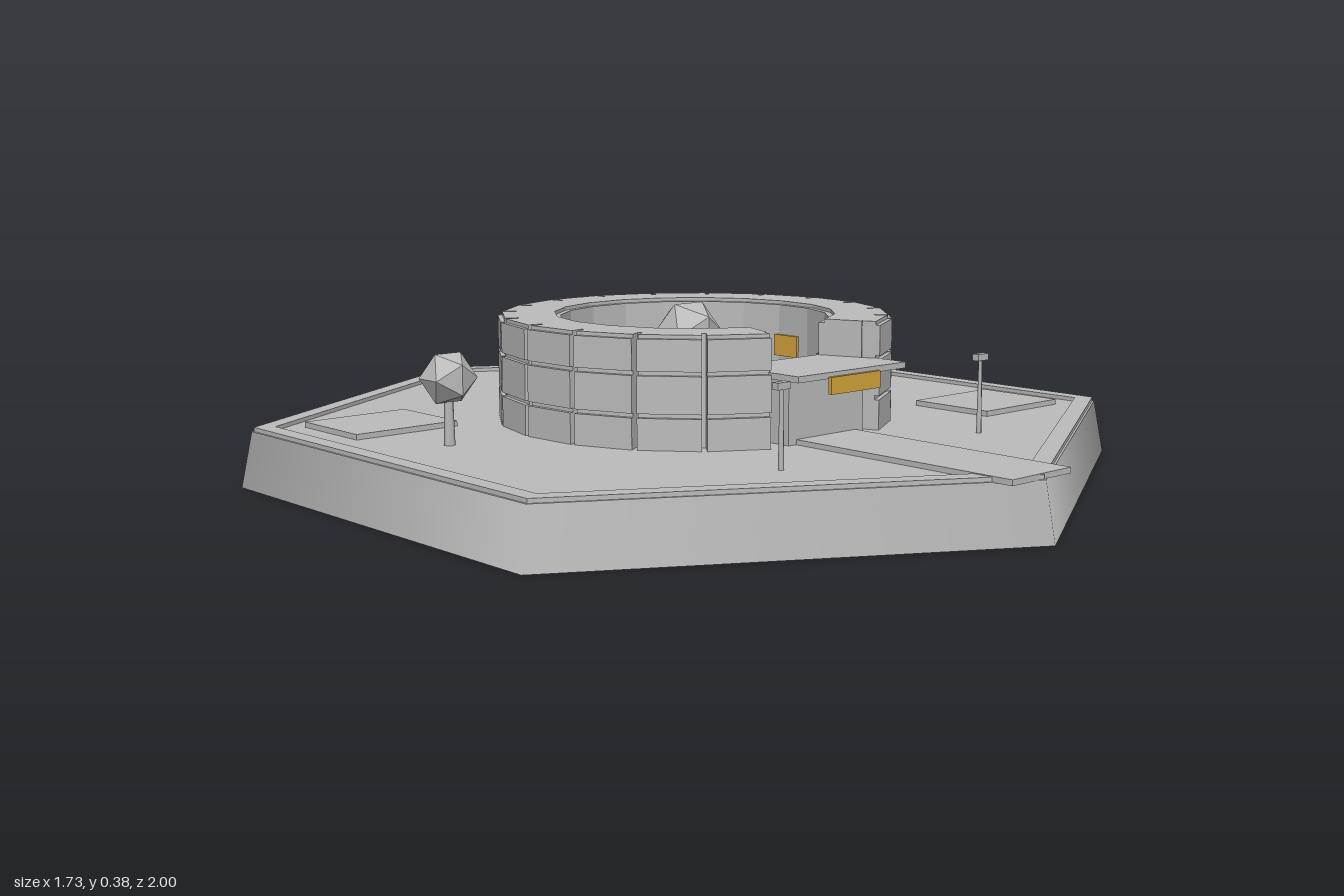
import * as THREE from 'three';

export function createModel() {
  const root = new THREE.Group();
  const stone = new THREE.MeshStandardMaterial({ color: 0xbcbcbc });
  stone.name = 'stone grey';
  const gold = new THREE.MeshStandardMaterial({ color: 0xd6a53c });
  gold.name = 'sign gold';
  const rad = THREE.MathUtils.degToRad;
  const FLOOR = 0.122, TOP = 0.358;

  const add = (name, geo, x = 0, y = 0, z = 0, mat = stone, parent = root) => {
    const m = new THREE.Mesh(geo, mat);
    m.name = name;
    m.position.set(x, y, z);
    parent.add(m);
    return m;
  };
  const box = (w, h, d) => new THREE.BoxGeometry(w, h, d);

  // Extrude a plan outline of [x, z] points from y0 up to y1
  const slab = (pts, y0, y1, hole) => {
    const v = p => p.map(([x, z]) => new THREE.Vector2(x, -z));
    const shape = new THREE.Shape(v(pts));
    if (hole) shape.holes.push(new THREE.Path(v(hole)));
    const g = new THREE.ExtrudeGeometry(shape, { depth: y1 - y0, bevelEnabled: false });
    return g.rotateX(-Math.PI / 2).translate(0, y0, 0);
  };
  // Points along an arc; angle 0 is the front
  const arc = (r, a0, a1, n) => Array.from({ length: n + 1 }, (_, i) => {
    const a = rad(a0 + (a1 - a0) * i / n);
    return [r * Math.sin(a), r * Math.cos(a)];
  });
  const sector = (r0, r1, a0, a1, y0, y1, n) =>
    slab([...arc(r1, a0, a1, n), ...arc(r0, a1, a0, n)], y0, y1);
  const hex = r => arc(r, 0, 300, 5);

  // Hexagonal plinth with a low kerb
  add('plinth', new THREE.CylinderGeometry(0.975, 1, FLOOR, 6), 0, FLOOR / 2, 0);
  add('kerb', slab(hex(0.97), FLOOR - 0.01, 0.131, hex(0.925)));

  // Path to the front corner and two flat beds
  add('path', box(0.18, 0.012, 0.555), 0, 0.127, 0.688);
  for (const s of [-1, 1])
    add('flatBed', box(0.255, 0.016, 0.21), s * 0.605, 0.126, s * 0.352);

  // Ring wall, open at the front
  const OPEN = 21, N = 17, step = (360 - 2 * OPEN) / N;
  const ring = new THREE.Group();
  ring.name = 'ringWall';
  root.add(ring);
  add('wallCore', sector(0.315, 0.402, OPEN, 360 - OPEN, FLOOR, TOP, N), 0, 0, 0, stone, ring);
  add('innerLining', sector(0.302, 0.318, OPEN, 360 - OPEN, FLOOR, TOP - 0.008, N), 0, 0, 0, stone, ring);

  // Outer panels: a backing plate with three raised rows
  const rows = [[FLOOR, 0.188], [0.197, 0.275], [0.284, 0.35]];
  for (let i = 0; i < N; i++) {
    const a0 = OPEN + i * step + 0.7, a1 = OPEN + (i + 1) * step - 0.7;
    add('panelBacking', sector(0.39, 0.432, a0, a1, FLOOR, TOP, 1), 0, 0, 0, stone, ring);
    for (const [y0, y1] of rows)
      add('panelRow', sector(0.42, 0.442, a0, a1, y0, y1, 1), 0, 0, 0, stone, ring);
  }

  // Gold plaques on the inner wall
  for (let i = 0; i < 6; i++) {
    const a = rad(30 + i * 60);
    const m = add('wallPlaque', box(0.075, 0.05, 0.009), 0.295 * Math.sin(a), 0.255, 0.295 * Math.cos(a), gold);
    m.rotation.y = a;
  }

  // Entrance with canopy and sign
  add('entranceBlock', box(0.225, 0.15, 0.12), 0, FLOOR + 0.075, 0.35);
  add('canopy', slab([[-0.108, 0.28], [-0.155, 0.4], [-0.162, 0.4], [-0.162, 0.485],
    [0.162, 0.485], [0.162, 0.4], [0.155, 0.4], [0.108, 0.28]], 0.266, 0.279));
  add('entranceSign', box(0.148, 0.036, 0.009), 0, 0.252, 0.489, gold);

  // Trees with faceted crowns
  const tree = (name, x, z, r, y) => {
    const g = new THREE.Group();
    g.name = name;
    g.position.set(x, 0, z);
    root.add(g);
    const h = y - r * 0.6 - FLOOR;
    add('trunk', new THREE.CylinderGeometry(0.009, 0.012, h, 6), 0, FLOOR + h / 2, 0, stone, g);
    add('crown', new THREE.IcosahedronGeometry(r, 0), 0, y, 0, stone, g);
  };
  tree('centreTree', 0, 0.0 - 0.02, 0.08, 0.308);
  tree('leftTree', 0.62, -0.07, 0.06, 0.262);
  tree('rightTree', -0.62, -0.07, 0.06, 0.262);

  // Five benches round the centre tree
  for (let i = 0; i < 5; i++) {
    const a = rad(36 + i * 72);
    const m = add('bench', box(0.072, 0.03, 0.032), 0.16 * Math.sin(a), FLOOR + 0.015, 0.16 * Math.cos(a));
    m.rotation.y = a;
  }

  // Lamps beside the path
  for (const s of [-1, 1]) {
    add('lampPole', new THREE.CylinderGeometry(0.004, 0.006, 0.16, 6), s * 0.3, FLOOR + 0.08, 0.575);
    add('lampHead', box(0.034, 0.014, 0.016), s * 0.3, 0.286, 0.575);
  }
  return root;
}
